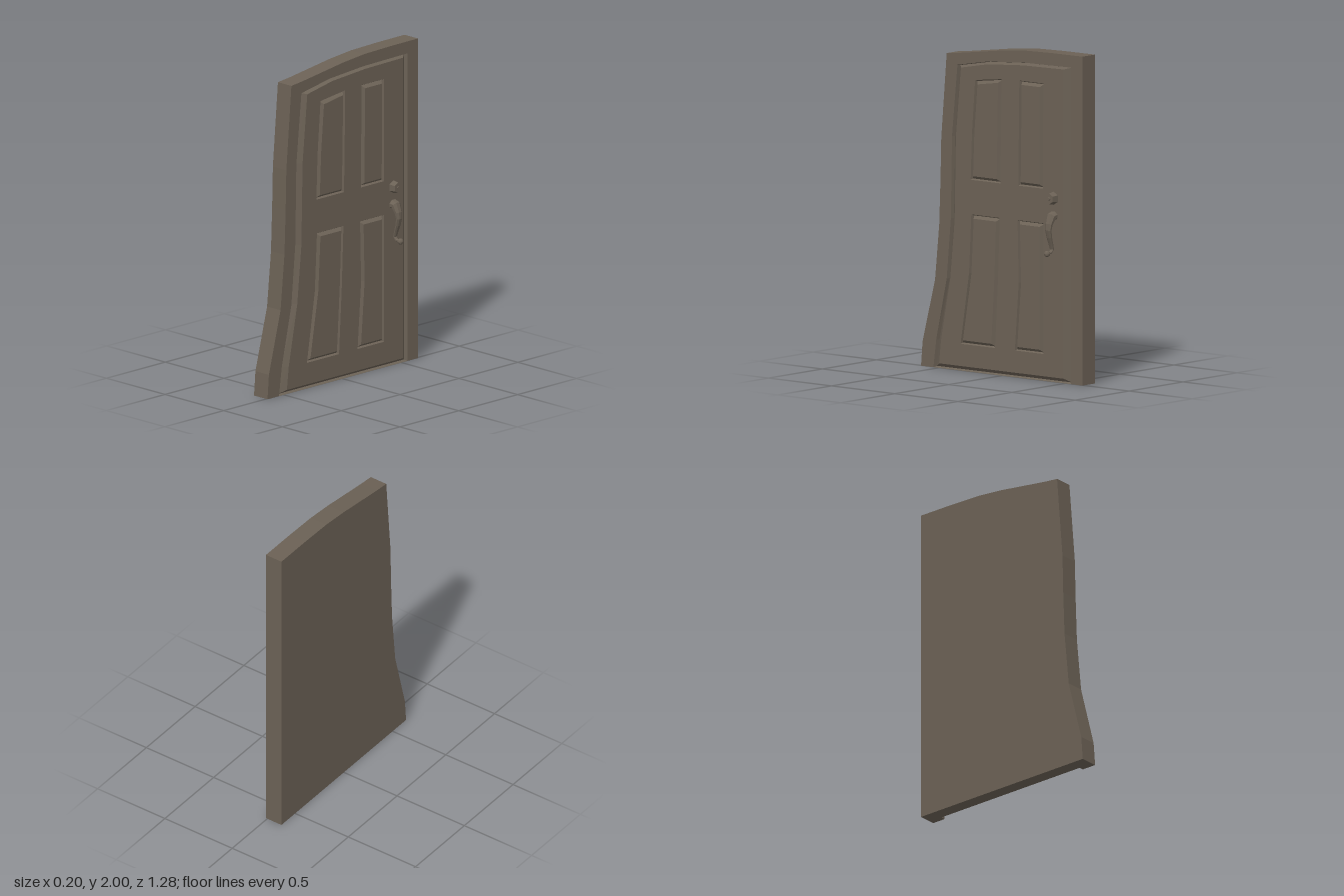
import * as THREE from 'three';

const material = new THREE.MeshStandardMaterial({ color: 0x6b6155, flatShading: true });

// Outlines are [s, y] pairs on the door face, with s = -z, listed clockwise from bottom left.
const outer = [[-0.638, 0], [-0.626, 0.15], [-0.527, 0.535], [-0.494, 0.875], [-0.484, 1.15], [-0.478, 1.4],
  [-0.435, 1.92], [-0.34, 1.93], [-0.18, 1.952], [0, 1.977], [0.18, 1.994], [0.4, 1.999], [0.64, 2], [0.64, 0]];
const opening = [[-0.54, 0], [-0.518, 0.17], [-0.435, 0.55], [-0.402, 0.92], [-0.393, 1.42],
  [-0.35, 1.857], [-0.11, 1.9], [0.18, 1.92], [0.55, 1.925], [0.55, 0]];
const leaf = [[-0.485, 0.03], [-0.47, 0.17], [-0.397, 0.55], [-0.362, 0.91], [-0.352, 1.42],
  [-0.312, 1.845], [-0.1, 1.885], [0.18, 1.905], [0.5, 1.91], [0.5, 0.03]];
const panels = {
  upperLeftPanel: [[-0.235, 1.17], [-0.225, 1.45], [-0.2, 1.78], [0.01, 1.805], [0.005, 1.45], [0, 1.17]],
  upperRightPanel: [[0.142, 1.17], [0.15, 1.81], [0.34, 1.81], [0.338, 1.17]],
  lowerLeftPanel: [[-0.315, 0.165], [-0.248, 0.6], [-0.23, 0.96], [-0.005, 0.96], [-0.018, 0.6], [-0.042, 0.165]],
  lowerRightPanel: [[0.115, 0.165], [0.145, 0.58], [0.136, 0.96], [0.34, 0.96], [0.34, 0.165]],
};

const BACK = -0.105, GROOVE = -0.01, FRAME = 0.01, FACE = 0.022, PANEL = 0.028;

const toShape = (pts) => new THREE.Shape(pts.map(([s, y]) => new THREE.Vector2(s, y)));
const ring = (pts, x) => pts.map(([s, y]) => new THREE.Vector3(x, y, -s));

// Closed strip of quads joining successive rings of points
function loft(rings) {
  const n = rings[0].length, index = [];
  for (let r = 0; r < rings.length - 1; r++) {
    for (let j = 0; j < n; j++) {
      const k = (j + 1) % n, a = r * n, b = a + n;
      index.push(a + j, b + j, b + k, a + j, b + k, a + k);
    }
  }
  const geo = new THREE.BufferGeometry().setFromPoints(rings.flat());
  geo.setIndex(index);
  const flat = geo.toNonIndexed();
  flat.computeVertexNormals();
  return flat;
}

// Flat face turned toward +x
function face(pts, x, holes = []) {
  const shape = toShape(pts);
  shape.holes = holes.map(toShape);
  return new THREE.ShapeGeometry(shape).rotateY(Math.PI / 2).translate(x, 0, 0);
}

function slab(pts, x0, x1) {
  return new THREE.ExtrudeGeometry(toShape(pts), { depth: x1 - x0, bevelEnabled: false })
    .rotateY(Math.PI / 2).translate(x0, 0, 0);
}

// Shrinks a panel outline toward its middle by a fixed margin
function inset(pts, d) {
  const mid = (i) => (Math.min(...pts.map((p) => p[i])) + Math.max(...pts.map((p) => p[i]))) / 2;
  const cs = mid(0), cy = mid(1);
  return pts.map(([s, y]) => [
    s - Math.sign(s - cs) * d,
    Math.abs(y - cy) > 0.2 ? y - Math.sign(y - cy) * d : y,
  ]);
}

export function createModel() {
  const group = new THREE.Group();
  const add = (name, geometry, parent = group) => {
    const mesh = new THREE.Mesh(geometry, material);
    mesh.name = name;
    parent.add(mesh);
    return mesh;
  };

  // Backing and the surrounding frame
  add('backing', slab(outer, BACK, -0.02));
  add('frame', slab([...outer, ...[...opening].reverse()], -0.02, FRAME));

  // Groove inside the frame, rising to the door face
  const groove = opening.map(([s, y], i) => [
    s + (leaf[i][0] - s) * 0.2, y + (leaf[i][1] - y) * 0.25]);
  add('doorEdge', loft([ring(opening, FRAME), ring(groove, GROOVE), ring(leaf, FACE)]));
  add('doorFace', face(leaf, FACE, Object.values(panels)));

  // Four raised panels, each set in a groove
  for (const [name, pts] of Object.entries(panels)) {
    const panel = new THREE.Group();
    panel.name = name;
    const top = inset(pts, 0.024);
    add('panelMoulding', loft([ring(pts, FACE), ring(inset(pts, 0.007), 0.006), ring(top, PANEL)]), panel);
    add('panelFace', face(top, PANEL), panel);
    group.add(panel);
  }

  // Six-sided lock with a small keyhole boss
  const lock = add('lock', new THREE.CylinderGeometry(0.033, 0.042, 0.05, 6).rotateY(Math.PI / 6).rotateZ(-Math.PI / 2));
  lock.position.set(0.037, 1.12, -0.42);
  const boss = add('keyhole', new THREE.CylinderGeometry(0.008, 0.011, 0.006, 6).rotateZ(-Math.PI / 2));
  boss.position.set(0.063, 1.12, -0.42);

  // Curved pull: [x, y, half width, half thickness]
  const path = [[0.01, 1.012, 0.036, 0.032], [0.042, 1.008, 0.034, 0.028], [0.064, 0.965, 0.027, 0.018],
    [0.07, 0.93, 0.023, 0.013], [0.06, 0.885, 0.02, 0.011], [0.046, 0.845, 0.017, 0.01],
    [0.035, 0.81, 0.014, 0.01], [0.048, 0.793, 0.012, 0.009], [0.08, 0.788, 0.01, 0.008]];
  const sections = path.map(([x, y, w, t], i) => {
    const p = path[Math.max(i - 1, 0)], q = path[Math.min(i + 1, path.length - 1)];
    const dir = new THREE.Vector2(q[0] - p[0], q[1] - p[1]).normalize();
    return Array.from({ length: 8 }, (_, j) => {
      const a = (j + 0.5) / 8 * Math.PI * 2, c = Math.cos(a) * t;
      return new THREE.Vector3(x - dir.y * c, y + dir.x * c, -0.42 - Math.sin(a) * w);
    });
  });
  add('handle', loft(sections));
  add('handleTip', new THREE.SphereGeometry(0.019, 8, 6)).position.set(0.081, 0.788, -0.42);

  return group;
}
